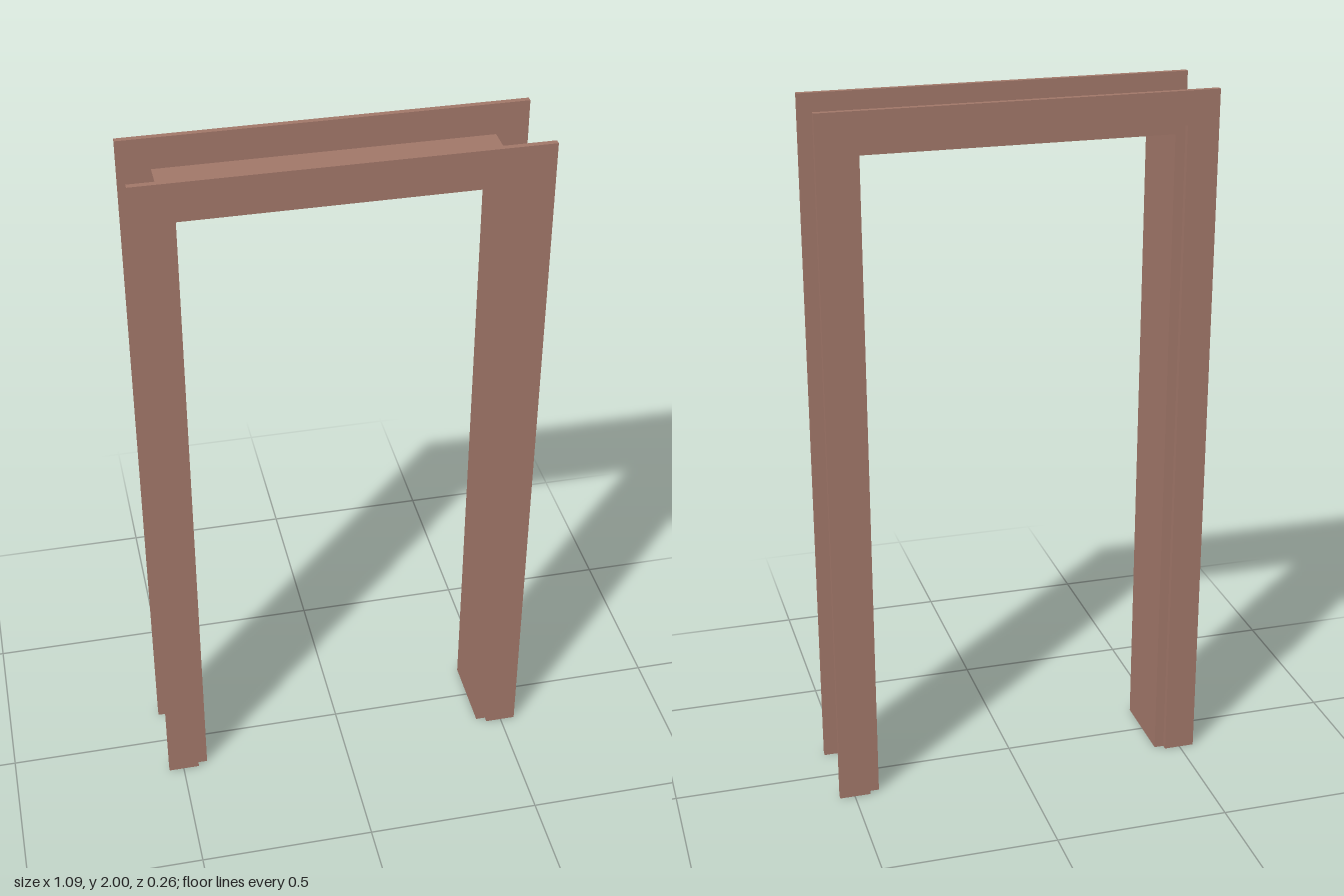
import * as THREE from 'three';

const material = new THREE.MeshStandardMaterial({ color: 0xa07668 });

// Three-sided door surround standing on y = 0, extruded from z0 to z1
function surround(name, outerX, outerY, innerX, innerY, z0, z1) {
  const shape = new THREE.Shape([
    [-outerX, 0], [-innerX, 0], [-innerX, innerY], [innerX, innerY],
    [innerX, 0], [outerX, 0], [outerX, outerY], [-outerX, outerY],
  ].map(([x, y]) => new THREE.Vector2(x, y)));
  const geometry = new THREE.ExtrudeGeometry(shape, { depth: z1 - z0, bevelEnabled: false });
  geometry.translate(0, 0, z0);
  const mesh = new THREE.Mesh(geometry, material);
  mesh.name = name;
  return mesh;
}

export function createModel() {
  const model = new THREE.Group();
  model.name = 'doorFrame';

  const back = 0.114;  // half depth of the lining
  const face = 0.13;   // outer face of the casings

  // Lining through the wall
  model.add(surround('jambLining', 0.455, 1.912, 0.426, 1.882, -back, back));

  // Flat casings on both faces, set back to leave a narrow reveal
  model.add(surround('frontCasing', 0.543, 2, 0.454, 1.908, back, face));
  model.add(surround('backCasing', 0.543, 2, 0.454, 1.908, -face, -back));

  return model;
}
